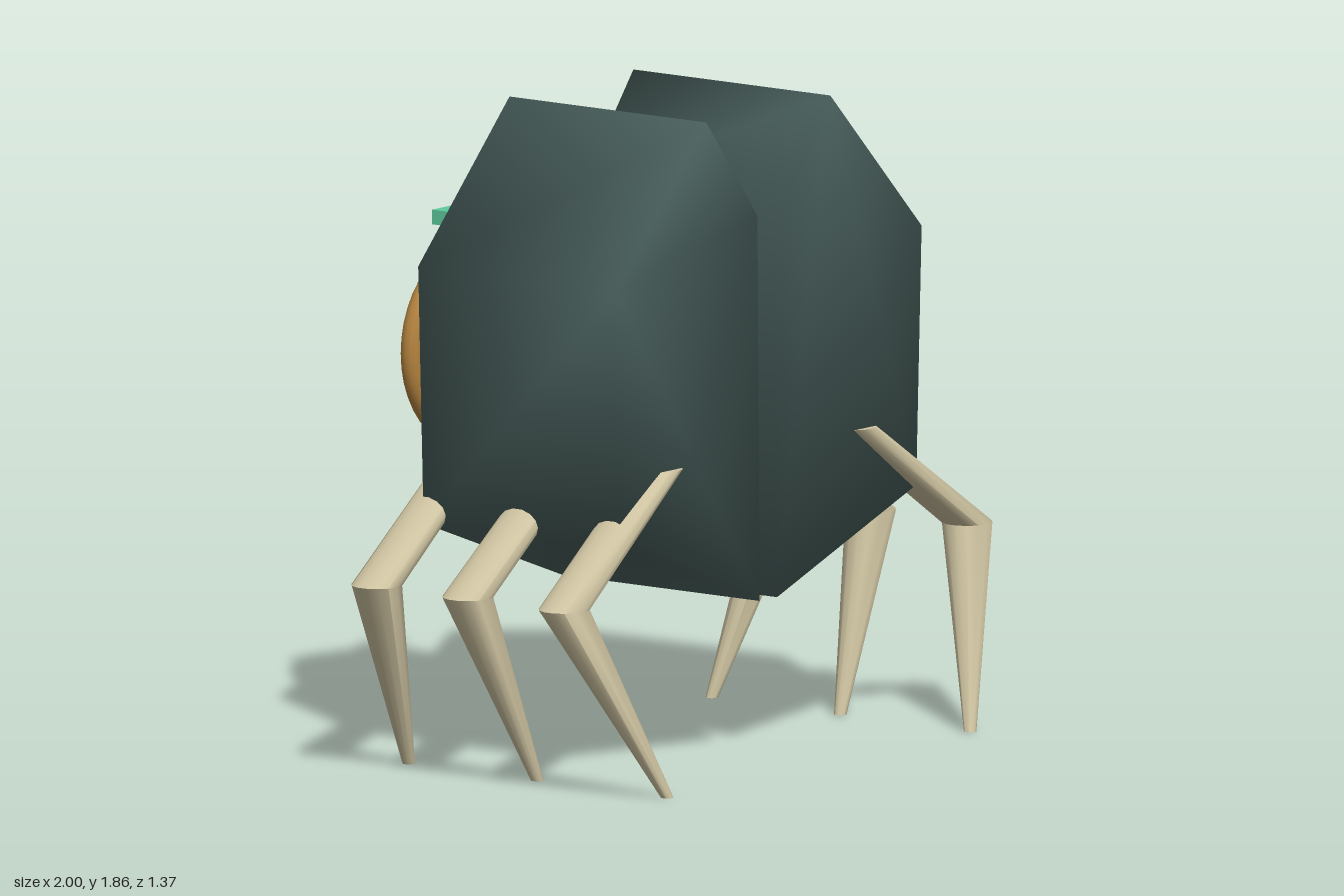
import * as THREE from 'three';
import { mergeVertices, toCreasedNormals } from 'three/addons/utils/BufferGeometryUtils.js';

const shellMat = new THREE.MeshStandardMaterial({ color: 0x465c59 });
const headMat = new THREE.MeshStandardMaterial({ color: 0x5fcb9e });
const legMat = new THREE.MeshStandardMaterial({ color: 0xcdc2a0 });
const trimMat = new THREE.MeshStandardMaterial({ color: 0xb5843f });

function add(parent, name, geometry, material, x = 0, y = 0, z = 0) {
  const mesh = new THREE.Mesh(geometry, material);
  mesh.name = name;
  mesh.position.set(x, y, z);
  parent.add(mesh);
  return mesh;
}

// Bent limb through three level round sections, top to bottom: [x, y, z, radius]
function limb(sections, side) {
  const geo = new THREE.CylinderGeometry(1, 1, 1, 14, 2);
  const p = geo.attributes.position;
  for (let i = 0; i < p.count; i++) {
    const [x, y, z, r] = sections[Math.round((0.5 - p.getY(i)) * 2)];
    p.setXYZ(i, side * x + r * p.getX(i), y, z + r * p.getZ(i));
  }
  return toCreasedNormals(geo, 0.9);
}

// Half of the body: a six-sided outline run along z, shaded softly over its edges
function shell(side) {
  const outline = [[0.285, 1.86], [0.05, 1.56], [0.04, 0.455], [0.68, 0.69], [0.705, 1.43]];
  const shape = new THREE.Shape(outline.map(([x, y]) => new THREE.Vector2(side * x, y)));
  let geo = new THREE.ExtrudeGeometry(shape, { depth: 0.705, bevelEnabled: false });
  geo.translate(0, 0, -0.22);
  geo.deleteAttribute('uv');
  geo.deleteAttribute('normal');
  geo = mergeVertices(geo);
  geo.computeVertexNormals();
  return geo;
}

export function createModel() {
  const model = new THREE.Group();
  model.name = 'walker';

  // Head between the shells, with a ring at each end
  add(model, 'head', new THREE.SphereGeometry(0.31, 32, 20), headMat, 0, 1.08, -0.38);
  for (const [name, z] of [['faceRing', -0.59], ['neckRing', -0.185]]) {
    add(model, name, new THREE.TorusGeometry(0.26, 0.031, 12, 40), trimMat, 0, 1.08, z);
  }

  // z of hip, knee and foot for each leg of a side
  const legs = {
    FrontLeg: [0.44, 0.475, 0.665],
    MiddleLeg: [0.11, 0.13, 0.2],
    BackLeg: [-0.225, -0.195, -0.26],
  };

  for (const [label, s] of [['left', 1], ['right', -1]]) {
    add(model, label + 'Shell', shell(s), shellMat);
    add(model, label + 'Brow', new THREE.BoxGeometry(0.16, 0.042, 0.052), headMat, s * 0.158, 1.475, -0.508);

    // Bent horn beside the head
    add(model, label + 'Mandible',
      limb([[0.28, 1.73, -0.26, 0.012], [0.53, 1.07, -0.26, 0.042], [0.145, 0.615, -0.265, 0.026]], s), trimMat);

    for (const [name, [hip, knee, foot]] of Object.entries(legs)) {
      add(model, label + name,
        limb([[0.445, 0.885, hip, 0.068], [0.927, 0.55, knee, 0.073], [0.697, 0, foot, 0.018]], s), legMat);
    }
  }
  return model;
}
